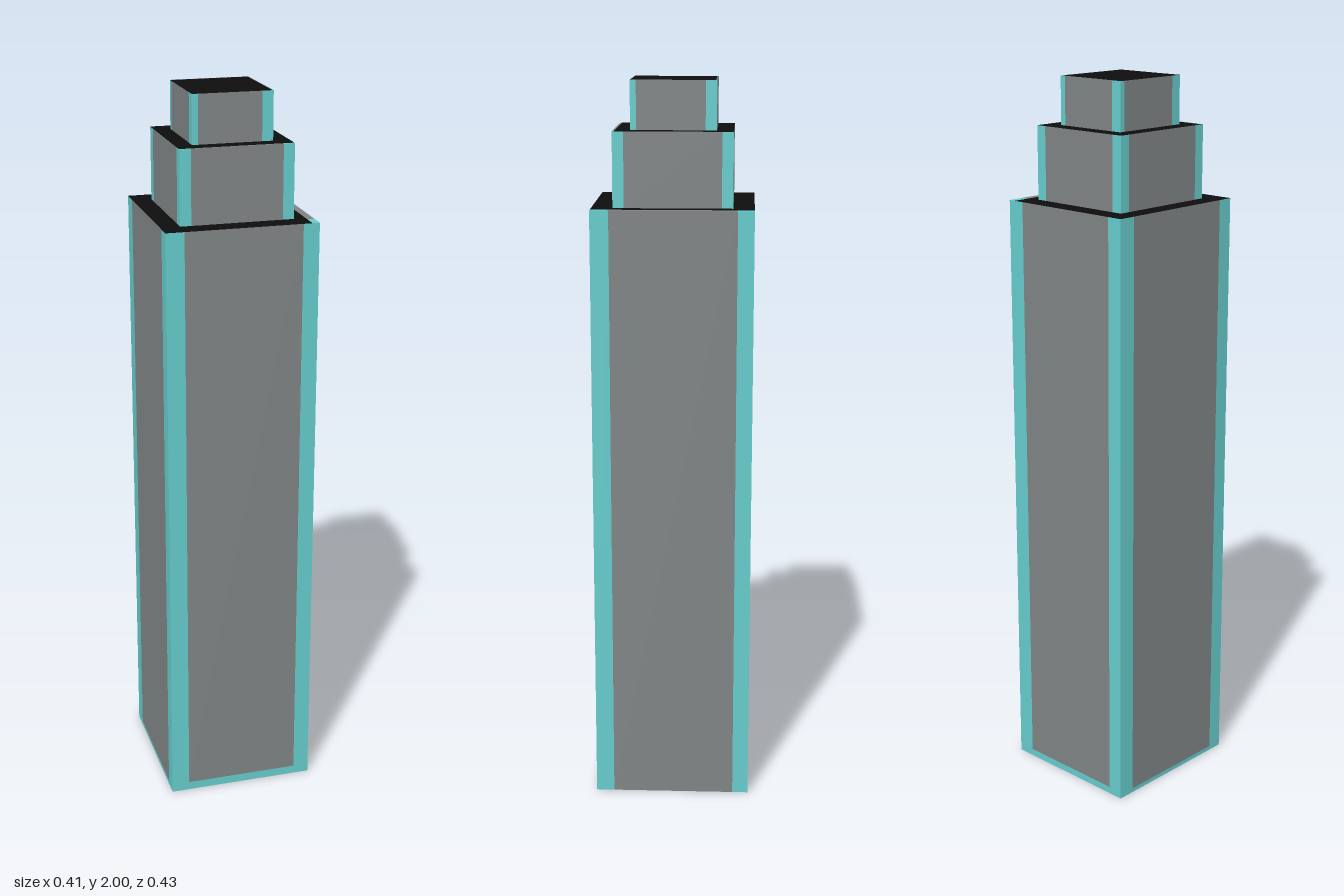
import * as THREE from 'three';

const mat = (name, color) => {
  const m = new THREE.MeshStandardMaterial({ color, side: THREE.DoubleSide });
  m.name = name;
  return m;
};

export function createModel() {
  const teal = mat('teal trim', 0x66cccc);
  const grey = mat('grey wall', 0x808484);
  const black = mat('black roof', 0x0d0d0d);

  // flat rectangle from (x0, y0) to (x1, y1) in its parent's XY plane
  const rect = (parent, name, material, x0, x1, y0, y1) => {
    const geo = new THREE.PlaneGeometry(x1 - x0, y1 - y0);
    geo.translate((x0 + x1) / 2, (y0 + y1) / 2, 0);
    const mesh = new THREE.Mesh(geo, material);
    mesh.name = name;
    parent.add(mesh);
  };

  // one wall: grey panel between two teal corner strips, optional teal base band
  const wall = (name, half, y0, y1, left, right, band) => {
    const g = new THREE.Group();
    g.name = name;
    const a = -half + left, b = half - right;
    rect(g, 'cornerStrip', teal, -half, a, y0, y1);
    rect(g, 'cornerStrip', teal, b, half, y0, y1);
    rect(g, 'panel', grey, a, b, y0 + band, y1);
    if (band) rect(g, 'baseBand', teal, a, b, y0, y0 + band);
    return g;
  };

  // bands: base band height on the front, left, back and right walls
  const tiers = [
    { name: 'towerBody', x: 0.207, z: 0.217, y0: 0, y1: 1.67, left: 0.05, right: 0.044, bands: [0.024, 0, 0.02, 0.012] },
    { name: 'middleTier', x: 0.154, z: 0.16, y0: 1.67, y1: 1.87, left: 0.03, right: 0.03, bands: [0, 0, 0, 0] },
    { name: 'topTier', x: 0.109, z: 0.115, y0: 1.87, y1: 2, left: 0.016, right: 0.03, bands: [0, 0, 0, 0] },
  ];
  const sides = ['frontWall', 'leftWall', 'backWall', 'rightWall'];

  const model = new THREE.Group();
  model.name = 'steppedTower';
  const roofs = tiers.map((t) => {
    const tier = new THREE.Group();
    tier.name = t.name;
    sides.forEach((side, i) => {
      const across = i % 2 ? t.z : t.x, out = i % 2 ? t.x : t.z;
      const w = wall(side, across, t.y0, t.y1, t.left, t.right, t.bands[i]);
      const angle = (i * Math.PI) / 2;
      w.rotation.y = angle;
      w.position.set(Math.sin(angle) * out, 0, Math.cos(angle) * out);
      tier.add(w);
    });
    // roof lies flat, its local y pointing to -z
    const roof = new THREE.Group();
    roof.name = 'roof';
    roof.rotation.x = -Math.PI / 2;
    roof.position.y = t.y1;
    tier.add(roof);
    model.add(tier);
    return roof;
  });

  // body roof with a trimmed strip along its left edge
  const [body, middle, top] = roofs;
  rect(body, 'roofPanel', black, -0.207, 0.187, -0.217, 0.217);
  rect(body, 'roofEdge', grey, 0.187, 0.207, -0.172, 0.172);
  rect(body, 'roofCorner', teal, 0.187, 0.207, 0.172, 0.217);
  rect(body, 'roofCorner', teal, 0.187, 0.207, -0.217, -0.172);

  // middle roof with a thin strip along the front
  rect(middle, 'roofPanel', black, -0.154, 0.154, -0.155, 0.16);
  rect(middle, 'roofEdge', grey, -0.125, 0.125, -0.16, -0.155);
  rect(middle, 'roofCorner', teal, -0.154, -0.125, -0.16, -0.155);
  rect(middle, 'roofCorner', teal, 0.125, 0.154, -0.16, -0.155);

  // top roof with thin strips along the back and left
  rect(top, 'roofPanel', black, -0.109, 0.106, -0.115, 0.112);
  rect(top, 'roofEdge', grey, -0.109, 0.082, 0.112, 0.115);
  rect(top, 'roofCorner', teal, 0.082, 0.109, 0.112, 0.115);
  rect(top, 'roofEdge', grey, 0.106, 0.109, -0.115, 0.112);

  return model;
}
